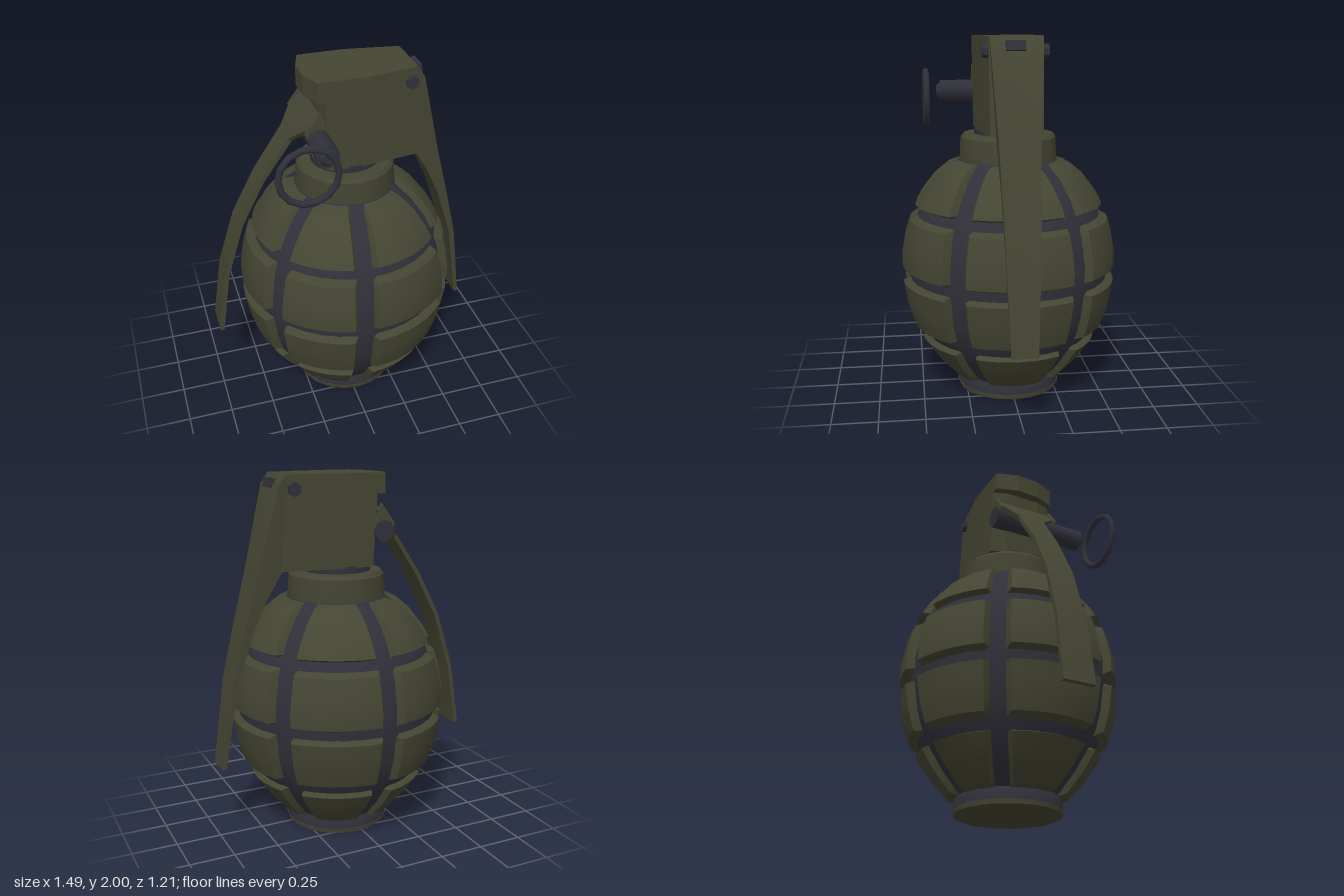
import * as THREE from 'three';
import { toCreasedNormals } from 'three/addons/utils/BufferGeometryUtils.js';

const CX = 0.025; // axis of the round body

// Closed solid through equal-length point loops, wound outward
function loft(sections, crease = 0.5) {
  const n = sections[0].length, tris = [];
  for (let s = 0; s < sections.length - 1; s++) {
    for (let i = 0; i < n; i++) {
      const j = (i + 1) % n, A = sections[s], B = sections[s + 1];
      tris.push([A[i], A[j], B[j]], [A[i], B[j], B[i]]);
    }
  }
  const first = sections[0], last = sections[sections.length - 1];
  for (let i = 1; i < n - 1; i++) {
    tris.push([first[0], first[i + 1], first[i]], [last[0], last[i], last[i + 1]]);
  }
  let volume = 0;
  const a = new THREE.Vector3(), b = new THREE.Vector3(), c = new THREE.Vector3();
  for (const t of tris) {
    volume += a.fromArray(t[0]).dot(b.fromArray(t[1]).cross(c.fromArray(t[2])));
  }
  if (volume < 0) tris.forEach((t) => t.reverse());
  const geo = new THREE.BufferGeometry();
  geo.setAttribute('position', new THREE.Float32BufferAttribute(tris.flat(2), 3));
  geo.computeVertexNormals();
  return toCreasedNormals(geo, crease);
}

function lathe(points, segments) {
  const geo = new THREE.LatheGeometry(points.map(([r, y]) => new THREE.Vector2(r, y)), segments);
  return toCreasedNormals(geo.translate(CX, 0, 0), 0.6);
}

// Outer egg profile: [height, radius]
const EGG = [[0.05, 0.29], [0.09, 0.32], [0.2, 0.42], [0.3, 0.49], [0.4, 0.545], [0.5, 0.578],
  [0.65, 0.602], [0.8, 0.605], [0.95, 0.578], [1.05, 0.543], [1.15, 0.49], [1.25, 0.41], [1.33, 0.31]];
function eggRadius(y) {
  let i = 0;
  while (i < EGG.length - 2 && y > EGG[i + 1][0]) i++;
  const [y0, r0] = EGG[i], [y1, r1] = EGG[i + 1];
  return r0 + (r1 - r0) * (y - y0) / (y1 - y0);
}

// One raised pad with bevelled rim, between two angles and two heights
function pad(t0, t1, y0, y1) {
  const us = [0, 0.05, 0.2, 0.35, 0.5, 0.65, 0.8, 0.95, 1];
  const vs = [0, 0.07, 0.3, 0.5, 0.7, 0.93, 1];
  const pos = [], index = [];
  us.forEach((u, i) => vs.forEach((v, j) => {
    const y = y0 + (y1 - y0) * v, r = eggRadius(y), gap = 0.043 / r;
    const t = t0 + gap + (t1 - t0 - 2 * gap) * u;
    const rim = u === 0 || u === 1 || v === 0 || v === 1;
    const rr = rim ? r - 0.048 : r;
    pos.push(CX + rr * Math.cos(t), y, rr * Math.sin(t));
    if (i < us.length - 1 && j < vs.length - 1) {
      const a = i * vs.length + j, b = a + 1, c = a + vs.length, d = c + 1;
      index.push(a, b, c, b, d, c);
    }
  }));
  const geo = new THREE.BufferGeometry();
  geo.setAttribute('position', new THREE.Float32BufferAttribute(pos, 3));
  geo.setIndex(index);
  geo.computeVertexNormals();
  return toCreasedNormals(geo, 0.7);
}

export function createModel() {
  const model = new THREE.Group();
  model.name = 'model';
  const olive = new THREE.MeshStandardMaterial({ color: 0x454533 });
  olive.name = 'olive paint';
  const dark = new THREE.MeshStandardMaterial({ color: 0x30303a });
  dark.name = 'dark metal';
  const add = (name, geo, mat, parent = model) => {
    const mesh = new THREE.Mesh(geo, mat);
    mesh.name = name;
    parent.add(mesh);
    return mesh;
  };

  // Body: dark core seen in the grooves, raised pads, base and collar
  const core = EGG.slice(1).map(([y, r]) => [r - 0.042, y]);
  add('grooveCore', lathe([[0.29, 0.02], [0.29, 0.06], ...core], 36), dark);
  add('base', lathe([[0, 0], [0.29, 0], [0.295, 0.025], [0, 0.025]], 20), olive);
  const pads = new THREE.Group();
  pads.name = 'pads';
  model.add(pads);
  const angles = [35, 95, 147, 213, 265, 325, 395].map(THREE.MathUtils.degToRad);
  const rows = [[0.08, 0.325], [0.375, 0.665], [0.71, 1.02], [1.065, 1.325]];
  for (const [y0, y1] of rows) {
    for (let i = 0; i < 6; i++) add('pad', pad(angles[i], angles[i + 1], y0, y1), olive, pads);
  }
  add('collar', lathe([[0.272, 1.28], [0.272, 1.33], [0.266, 1.45], [0.25, 1.47], [0, 1.47]], 20), olive);
  add('neck', lathe([[0.19, 1.46], [0.19, 1.51]], 20), dark);

  // Head housing, tapering towards the lever
  const housing = (y, left, right) => [[left, 0.1], [left + 0.03, 0.185], [0.08, 0.185], [right, 0.14],
    [right, -0.14], [0.08, -0.185], [left + 0.03, -0.185], [left, -0.1]].map(([x, z]) => [x, y, z]);
  add('headHousing', loft([housing(1.5, -0.14, 0.41), housing(2, -0.17, 0.365)], 0.2), olive);
  const lip = (y) => [[-0.17, 0.185], [-0.215, 0.07], [-0.22, -0.06], [-0.18, -0.185],
    [-0.1, -0.186], [-0.1, 0.186]].map(([x, z]) => [x, y, z]);
  add('headLip', loft([lip(1.89), lip(1.999)], 0.2), olive);

  // Right lever: [height, inner x, outer x, half width]
  const lever = [[2, 0.2, 0.37, 0.135], [1.94, 0.2, 0.41, 0.135], [1.5, 0.385, 0.52, 0.108],
    [1.36, 0.47, 0.557, 0.103], [1.2, 0.545, 0.6, 0.097], [0.9, 0.645, 0.675, 0.088], [0.42, 0.722, 0.745, 0.07]];
  add('lever', loft(lever.map(([y, a, b, w]) => [[a, y, w], [b, y, w], [b, y, -w], [a, y, -w]]), 0.35), olive);

  // Curved strap on the other side: [x, y, back z, front z]
  const strap = [[-0.15, 1.81, -0.185, 0.18], [-0.21, 1.75, -0.185, 0.18], [-0.29, 1.65, -0.1, 0.065],
    [-0.45, 1.42, -0.09, 0.06], [-0.58, 1.17, -0.095, 0.065], [-0.68, 0.85, -0.1, 0.07], [-0.736, 0.48, -0.105, 0.075]];
  add('strap', loft(strap.map(([x, y, z0, z1], i) => {
    const p = strap[Math.max(i - 1, 0)], q = strap[Math.min(i + 1, strap.length - 1)];
    const len = Math.hypot(q[0] - p[0], q[1] - p[1]) / 0.012;
    const nx = -(q[1] - p[1]) / len, ny = (q[0] - p[0]) / len;
    return [[x + nx, y + ny, z0], [x + nx, y + ny, z1], [x - nx, y - ny, z1], [x - nx, y - ny, z0]];
  }), 0.4), olive);
  const ear = (z) => [[-0.16, 1.84], [-0.24, 1.73], [-0.2, 1.64], [-0.11, 1.7]].map(([x, y]) => [x, y, z]);
  for (const z of [-0.187, 0.167]) add('strapEar', loft([ear(z), ear(z + 0.02)], 0.2), olive);

  // Pin and pull ring
  const pin = new THREE.CylinderGeometry(0.06, 0.06, 0.565, 10);
  add('pin', toCreasedNormals(pin, 0.8), dark).position.set(-0.172, 1.69, 0.085);
  const tip = new THREE.CylinderGeometry(0.03, 0.05, 0.022, 8);
  add('pinTip', toCreasedNormals(tip, 0.8), dark).position.set(-0.172, 1.69, 0.378);
  for (const part of model.children.slice(-2)) part.rotation.x = Math.PI / 2;
  add('pullRing', new THREE.TorusGeometry(0.153, 0.018, 8, 14), dark).position.set(-0.293, 1.643, 0.443);

  // Bolts on the head
  for (const side of [-1, 1]) {
    const bolt = add('sideBolt', toCreasedNormals(new THREE.CylinderGeometry(0.034, 0.038, 0.05, 6), 0.5), dark);
    bolt.position.set(0.335, 1.925, side * 0.147);
    bolt.rotation.x = Math.PI / 2;
  }
  const topBolt = add('leverBolt', new THREE.BoxGeometry(0.05, 0.05, 0.1), dark);
  topBolt.position.set(0.4, 1.95, 0.008);
  topBolt.rotation.z = 0.25;

  return model;
}
